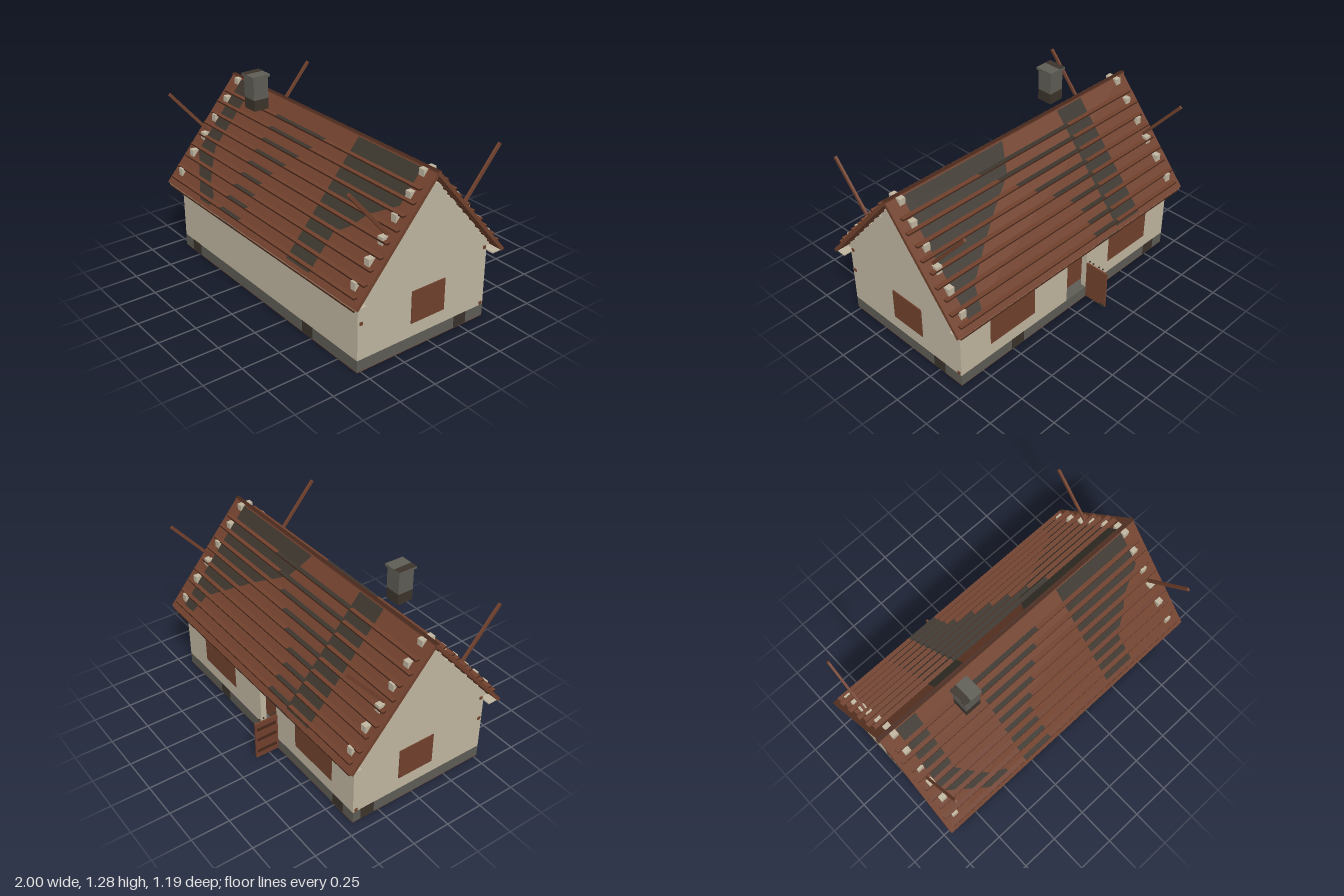
import * as THREE from 'three';

const mat = (name, color) => {
  const m = new THREE.MeshStandardMaterial({ color });
  m.name = name;
  return m;
};

export function createModel() {
  const plaster = mat('cream plaster', 0xc0b6a0);
  const brown = mat('red brown wood', 0x71412d);
  const deep = mat('deep brown wood', 0x48281b);
  const dark = mat('dark weathered patch', 0x3c362e);
  const stone = mat('grey stone', 0x5e5c55);
  const shade = mat('dark stone', 0x3b332b);

  const model = new THREE.Group();
  model.name = 'house';
  const MID = 0.045;                    // z of the ridge
  const RIDGE = 1.1, DROP = 0.64, RUN = 0.545;

  // box given by its limits on each axis
  const box = (parent, name, m, x0, x1, y0, y1, z0, z1) => {
    const mesh = new THREE.Mesh(new THREE.BoxGeometry(x1 - x0, y1 - y0, z1 - z0), m);
    mesh.position.set((x0 + x1) / 2, (y0 + y1) / 2, (z0 + z1) / 2);
    mesh.name = name;
    parent.add(mesh);
    return mesh;
  };

  // foundation with darker stones, and the floor underneath
  box(model, 'foundation', stone, -0.925, 0.92, 0.004, 0.08, -0.435, 0.525);
  box(model, 'floor', brown, -0.925, 0.92, 0, 0.004, -0.435, 0.525);
  for (const x of [-0.78, 0.46]) {
    box(model, 'foundationStone', shade, x - 0.05, x + 0.05, 0.004, 0.081, 0.522, 0.527);
    box(model, 'foundationStone', shade, x - 0.05, x + 0.05, 0.004, 0.081, -0.437, -0.432);
  }
  box(model, 'foundationStone', shade, 0.917, 0.922, 0.004, 0.081, -0.295, -0.2);
  box(model, 'foundationStone', shade, -0.927, -0.922, 0.004, 0.081, -0.38, -0.285);

  // walls; the back one has a doorway
  box(model, 'frontWall', plaster, -0.925, 0.92, 0.08, 0.48, 0.485, 0.525);
  box(model, 'rightWall', plaster, -0.925, -0.885, 0.08, 0.48, -0.435, 0.525);
  box(model, 'leftWall', plaster, 0.88, 0.92, 0.08, 0.48, -0.435, 0.525);
  box(model, 'backWall', plaster, -0.925, -0.15, 0.08, 0.48, -0.435, -0.395);
  box(model, 'backWall', plaster, 0.03, 0.92, 0.08, 0.48, -0.435, -0.395);
  box(model, 'doorLintel', plaster, -0.15, 0.03, 0.37, 0.48, -0.435, -0.395);
  box(model, 'innerPanel', brown, -0.3, 0.2, 0.08, 0.46, -0.36, -0.35);
  box(model, 'ceiling', plaster, -0.92, 0.915, 0.46, 0.468, -0.43, 0.52);

  // shuttered windows
  for (const [x0, x1] of [[0.32, 0.685], [-0.72, -0.355]])
    box(model, 'backWindow', brown, x0, x1, 0.17, 0.38, -0.438, -0.43);
  box(model, 'leftWindow', brown, 0.918, 0.926, 0.17, 0.38, -0.11, 0.14);
  box(model, 'rightWindow', brown, -0.931, -0.923, 0.17, 0.38, -0.11, 0.14);

  // beam ends on the gable walls
  for (const [z, y] of [[0.5, 0.473], [0.503, 0.315], [-0.415, 0.473], [-0.415, 0.095]]) {
    box(model, 'beamEnd', brown, 0.915, 0.925, y - 0.01, y + 0.01, z - 0.01, z + 0.01);
    box(model, 'beamEnd', brown, -0.93, -0.92, y - 0.01, y + 0.01, z - 0.01, z + 0.01);
  }

  // stepped gables whose corners come through the roof
  const levels = [0.48, 0.58, 0.69, 0.79, 0.895, 1.0, 1.105];
  [0.5, 0.41, 0.32, 0.23, 0.135, 0.045].forEach((hw, i) => {
    for (const [x0, x1] of [[-0.925, -0.885], [0.88, 0.92]])
      box(model, 'gableStep', plaster, x0, x1, levels[i], levels[i + 1], MID - hw, MID + hw);
  });

  // open door, battens and nails
  const door = new THREE.Group();
  door.name = 'door';
  model.add(door);
  box(door, 'doorLeaf', brown, -0.162, -0.15, 0.008, 0.275, -0.595, -0.435);
  for (const y of [0.05, 0.14, 0.22])
    box(door, 'doorBatten', deep, -0.167, -0.16, y, y + 0.02, -0.585, -0.45);
  box(door, 'doorCorner', dark, -0.152, -0.149, 0.008, 0.025, -0.594, -0.55);
  for (const z of [-0.455, -0.485, -0.53, -0.56])
    box(door, 'doorNail', dark, -0.16, -0.152, 0.291, 0.299, z - 0.004, z + 0.004);

  // one roof side, built facing +z; flip turns it to the back
  const tilt = Math.atan2(RUN, DROP), slopeLen = Math.hypot(RUN, DROP);
  const roofSide = (name, flip, patches, darkSpan) => {
    const side = new THREE.Group();
    side.name = name;
    side.position.z = MID;
    side.rotation.y = flip ? Math.PI : 0;
    model.add(side);

    const slope = new THREE.Group();
    slope.name = 'slope';
    slope.position.y = RIDGE;
    slope.rotation.x = -tilt;
    side.add(slope);
    box(slope, 'roofBoard', brown, -0.99, 0.99, -slopeLen, 0, -0.011, 0.011);
    for (const points of patches) {
      const shape = new THREE.Shape(points.map(([x, y]) =>
        new THREE.Vector2(x, (y - RIDGE) / Math.cos(tilt))));
      const patch = new THREE.Mesh(new THREE.ShapeGeometry(shape), dark);
      patch.position.z = 0.0125;
      patch.name = 'roofPatch';
      slope.add(patch);
    }

    // rows of flat battens, each with a weathered stretch
    const edged = m => [deep, deep, m, deep, deep, deep];
    for (let i = 0; i < 10; i++) {
      const y = 1.02 - i * 0.0633;
      const z = (RIDGE - y) * RUN / DROP + 0.01;
      const end = i % 2 ? 0.97 : 0.955;
      const z1 = Math.min(z + 0.03, 0.55);
      const [a, b] = darkSpan(i);
      for (const [x0, x1, m] of [[-end, a, brown], [a, b, dark], [b, end, brown]])
        box(side, 'roofBatten', edged(m), x0, x1, y - 0.005, y + 0.005, z - 0.03, z1);
    }
    box(side, 'soffit', plaster, -0.98, 0.98, 0.453, 0.461, 0.47, 0.545);

    // slanted poles standing off the roof
    for (const x of [-0.905, 0.905]) {
      const pole = new THREE.Mesh(new THREE.BoxGeometry(0.014, 0.43, 0.02), brown);
      pole.position.set(x, 0.94, 0.4);
      pole.rotation.x = Math.atan2(0.275, 0.32);
      pole.name = 'pole';
      side.add(pole);
    }
  };

  roofSide('frontRoof', false, [
    [[-0.88, 1.09], [-0.88, 0.68], [-0.6, 0.48], [-0.48, 0.48], [-0.5, 0.53],
      [-0.6, 0.58], [-0.68, 0.66], [-0.74, 0.73], [-0.74, 1.09]],
    [[0.345, 1.09], [0.345, 0.48], [0.56, 0.48], [0.56, 0.68], [0.65, 0.74],
      [0.72, 0.82], [0.88, 0.91], [0.88, 1.09]],
  ], i => [-0.37, Math.max(-0.16, 0.12 - i * 0.06)]);
  roofSide('backRoof', true, [
    [[-0.88, 1.09], [-0.88, 0.5], [-0.78, 0.5], [-0.74, 0.62], [-0.56, 0.74],
      [-0.4, 0.84], [-0.2, 0.95], [-0.12, 1.09]],
    [[0.35, 1.09], [0.35, 0.48], [0.565, 0.48], [0.565, 1.09]],
  ], i => [Math.min(0.16, -0.38 + i * 0.1), 0.37]);

  box(model, 'ridgeBeam', [brown, brown, deep, brown, brown, brown],
    -1, 0.995, 1.085, 1.11, MID - 0.013, MID + 0.013);

  // chimney with sooty foot and cap
  const chimney = new THREE.Group();
  chimney.name = 'chimney';
  model.add(chimney);
  box(chimney, 'chimneyFoot', shade, -0.535, -0.43, 1.055, 1.125, 0.155, 0.26);
  box(chimney, 'chimneyShaft', stone, -0.535, -0.43, 1.125, 1.265, 0.155, 0.26);
  box(chimney, 'chimneyCap', stone, -0.545, -0.42, 1.263, 1.279, 0.145, 0.27);
  box(chimney, 'capStain', shade, -0.544, -0.5, 1.277, 1.281, 0.146, 0.269);

  return model;
}
